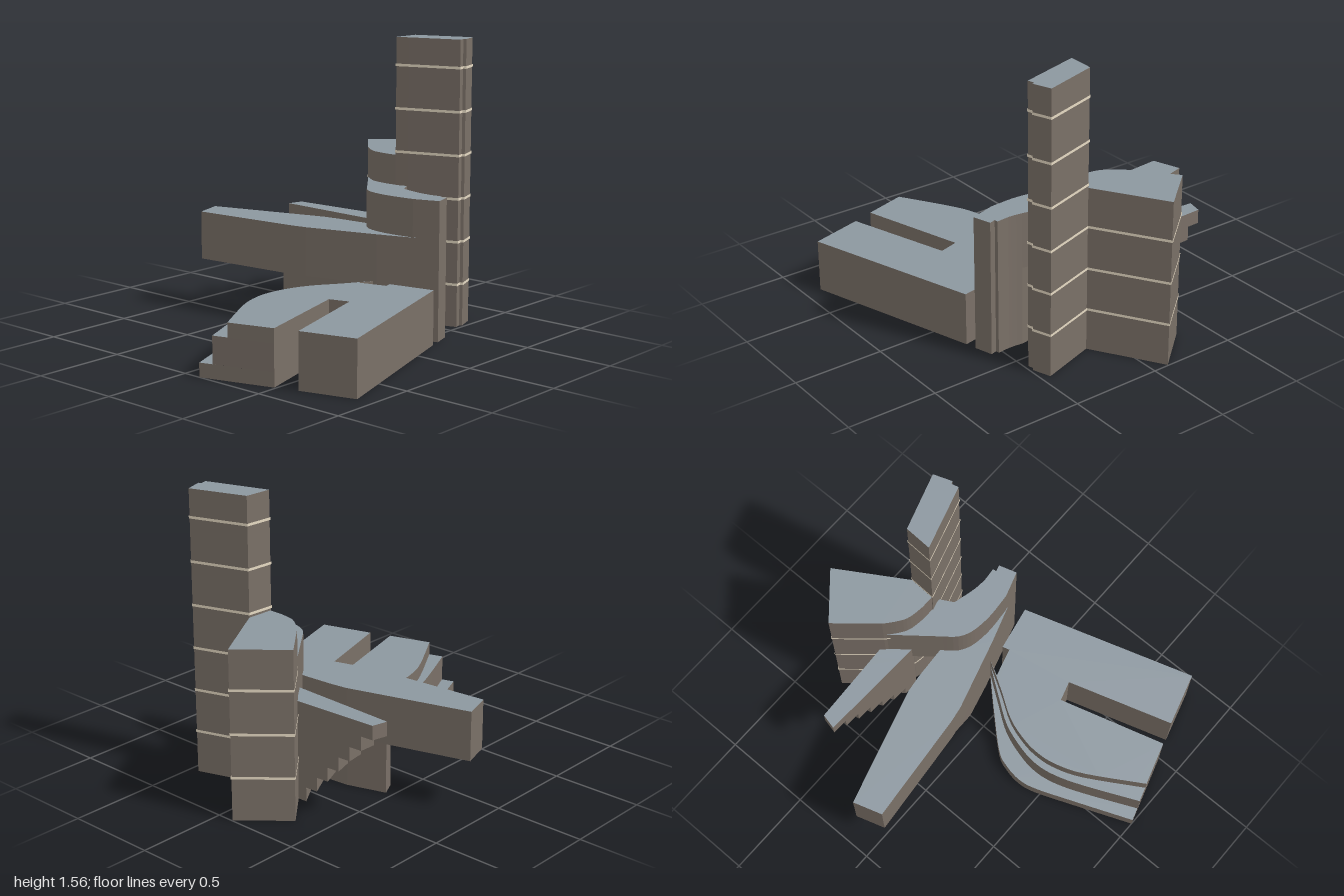
import * as THREE from 'three';

const mat = (name, color) => {
  const m = new THREE.MeshStandardMaterial({ color, side: THREE.DoubleSide });
  m.name = name;
  return m;
};

export function createModel() {
  const model = new THREE.Group();
  const wallMat = mat('stone wall', 0x7a7067);
  const roofMat = mat('slate roof', 0x8c979f);
  const bandMat = mat('pale band', 0xe6dac3);

  const add = (parent, name, geo, material) => {
    const mesh = new THREE.Mesh(geo, material);
    mesh.name = name;
    parent.add(mesh);
  };

  // Outlines are [x, z] plans, ordered counter-clockwise seen from above
  const ordered = (pts) => {
    const v = pts.map(([x, z]) => new THREE.Vector2(x, -z));
    return THREE.ShapeUtils.isClockWise(v) ? pts.slice().reverse() : pts;
  };

  const wallGeo = (outline, y0, y1) => {
    const pts = ordered(outline), pos = [];
    pts.forEach(([ax, az], i) => {
      const [bx, bz] = pts[(i + 1) % pts.length];
      pos.push(ax, y0, az, bx, y0, bz, bx, y1, bz, ax, y0, az, bx, y1, bz, ax, y1, az);
    });
    const g = new THREE.BufferGeometry();
    g.setAttribute('position', new THREE.Float32BufferAttribute(pos, 3));
    g.computeVertexNormals();
    return g;
  };

  // Flat plate facing up (dir 1) or down (dir -1)
  const plateGeo = (outline, y, dir) => {
    const shape = new THREE.Shape(outline.map(([x, z]) => new THREE.Vector2(x, -dir * z)));
    return new THREE.ShapeGeometry(shape).rotateX(-dir * Math.PI / 2).translate(0, y, 0);
  };

  const block = (name, outline, y0, y1) => {
    const g = new THREE.Group();
    g.name = name;
    add(g, name + 'Walls', wallGeo(outline, y0, y1), wallMat);
    add(g, name + 'Roof', plateGeo(outline, y1, 1), roofMat);
    add(g, name + 'Underside', plateGeo(outline, y0, -1), wallMat);
    model.add(g);
    return g;
  };

  // Push every outline corner outward along its mitre
  const grow = (outline, d) => {
    const pts = ordered(outline), n = pts.length;
    return pts.map(([x, z], i) => {
      const [px, pz] = pts[(i + n - 1) % n], [qx, qz] = pts[(i + 1) % n];
      const a = new THREE.Vector2(-(z - pz), x - px).normalize();
      const b = new THREE.Vector2(-(qz - z), qx - x).normalize();
      const m = a.clone().add(b).divideScalar(Math.max(0.5, 1 + a.dot(b)));
      return [x + m.x * d, z + m.y * d];
    });
  };

  const bands = (group, outline, count) => {
    const ring = grow(outline, 0.003);
    for (let k = 1; k <= count; k++) {
      const y = 0.235 * k;
      add(group, 'floorBand', wallGeo(ring, y - 0.007, y + 0.007), bandMat);
    }
  };

  const curve = (pts, n) => new THREE.SplineCurve(pts.map((p) => new THREE.Vector2(...p)))
    .getPoints(n).map((p) => [p.x, p.y]);

  // Tower
  const towerPlan = [[0.14, -0.62], [0.45, -0.72], [0.485, -0.62], [0.47, -0.613],
    [0.48, -0.575], [0.2, -0.49], [0.133, -0.47]];
  bands(block('tower', towerPlan, 0, 1.56), towerPlan, 6);

  // Rounded block beside the tower
  const rearPlan = [[-0.33, -0.79], [-0.09, -0.995], [0.14, -0.62], [0.138, -0.475],
    ...curve([[0.06, -0.475], [-0.03, -0.49], [-0.09, -0.525], [-0.15, -0.575]], 10)];
  bands(block('rearBlock', rearPlan, 0, 0.92), rearPlan, 3);

  // Curved hall: ground storeys in front, bridge storeys reaching back to the tower
  const hallPlan = [[-0.15, -0.58],
    ...curve([[0.05, -0.33], [0.1, -0.27], [0.16, -0.235], [0.23, -0.22], [0.32, -0.215], [0.45, -0.225]], 14),
    [0.59, -0.27], [0.56, -0.37], [0.525, -0.36], [0.522, -0.38],
    ...curve([[0.45, -0.373], [0.37, -0.38], [0.24, -0.412]], 6),
    [0.2, -0.485], [0.1, -0.48], [-0.02, -0.5]];
  block('hallBridge', hallPlan, 0.445, 0.755);
  block('hallBase', hallPlan.filter(([, z]) => z > -0.383), 0, 0.445);

  // Long side wing and the storey beneath it
  block('sideWing', [[-0.91, -0.13], [-0.86, 0.03], [-0.23, -0.03], [-0.14, -0.045],
    [0.26, -0.16], [0.47, -0.228], [0.4, -0.28], [0.1, -0.34], [0.03, -0.345],
    [-0.15, -0.333], [-0.25, -0.32]], 0.28, 0.55);
  block('wingBase', [[-0.46, -0.25], [-0.42, -0.17], [-0.2, -0.1], [0, -0.1],
    [0.2, -0.15], [0.45, -0.225], [0.3, -0.36], [0.03, -0.34], [-0.25, -0.315]], 0, 0.28);

  // Cantilevered wing with a stepped underside
  const mix = (a, b, t) => [a[0] + (b[0] - a[0]) * t, a[1] + (b[1] - a[1]) * t];
  const back = (t) => mix([-0.65, -0.575], [-0.15, -0.6], t);
  const front = (t) => mix([-0.67, -0.49], [-0.05, -0.465], t);
  const steps = 7, top = 0.545;
  for (let i = 0; i < steps; i++) {
    const t0 = i / steps, t1 = (i + 1) / steps;
    block('steppedWing', [back(t0), front(t0), front(t1), back(t1)], top * (1 - t1), top);
  }

  // Front podium: notched plan, open below, with curved terraces on one side
  const podium = new THREE.Group();
  podium.name = 'podium';
  model.add(podium);
  const rest = [[0.49, 0.88], [0.32, 0.29], [0.43, 0.257], [0.61, 0.84], [0.905, 0.755],
    [0.605, -0.21], [0.35, -0.16], [0.362, -0.12], [0.2, -0.075]];
  const levels = [
    { y0: 0, y1: 0.075, edge: [[0.245, -0.16], [0.08, 0.01], [-0.075, 0.18], [-0.115, 0.27],
      [-0.13, 0.37], [-0.112, 0.47], [-0.03, 0.68], [0.1, 1]] },
    { y0: 0.075, y1: 0.22, edge: [[0.244, -0.159], [0.13, 0.0], [0.035, 0.14], [-0.018, 0.29],
      [-0.035, 0.41], [-0.018, 0.53], [0.04, 0.69], [0.17, 0.978]] },
    { y0: 0.22, y1: 0.295, edge: [[0.243, -0.158], [0.15, 0.0], [0.055, 0.15], [0.01, 0.29],
      [0, 0.4], [0.016, 0.51], [0.075, 0.66], [0.25, 0.954]] },
  ];
  levels.forEach((l) => { l.pts = curve(l.edge, 28); });
  levels.forEach((l, i) => {
    const plan = [...l.pts, ...rest], next = levels[i + 1];
    add(podium, 'podiumWalls', wallGeo(plan, l.y0, l.y1), wallMat);
    const deck = next ? [...l.pts, ...next.pts.slice().reverse()] : plan;
    add(podium, next ? 'terrace' : 'podiumRoof', plateGeo(deck, l.y1, 1), roofMat);
  });

  return model;
}
